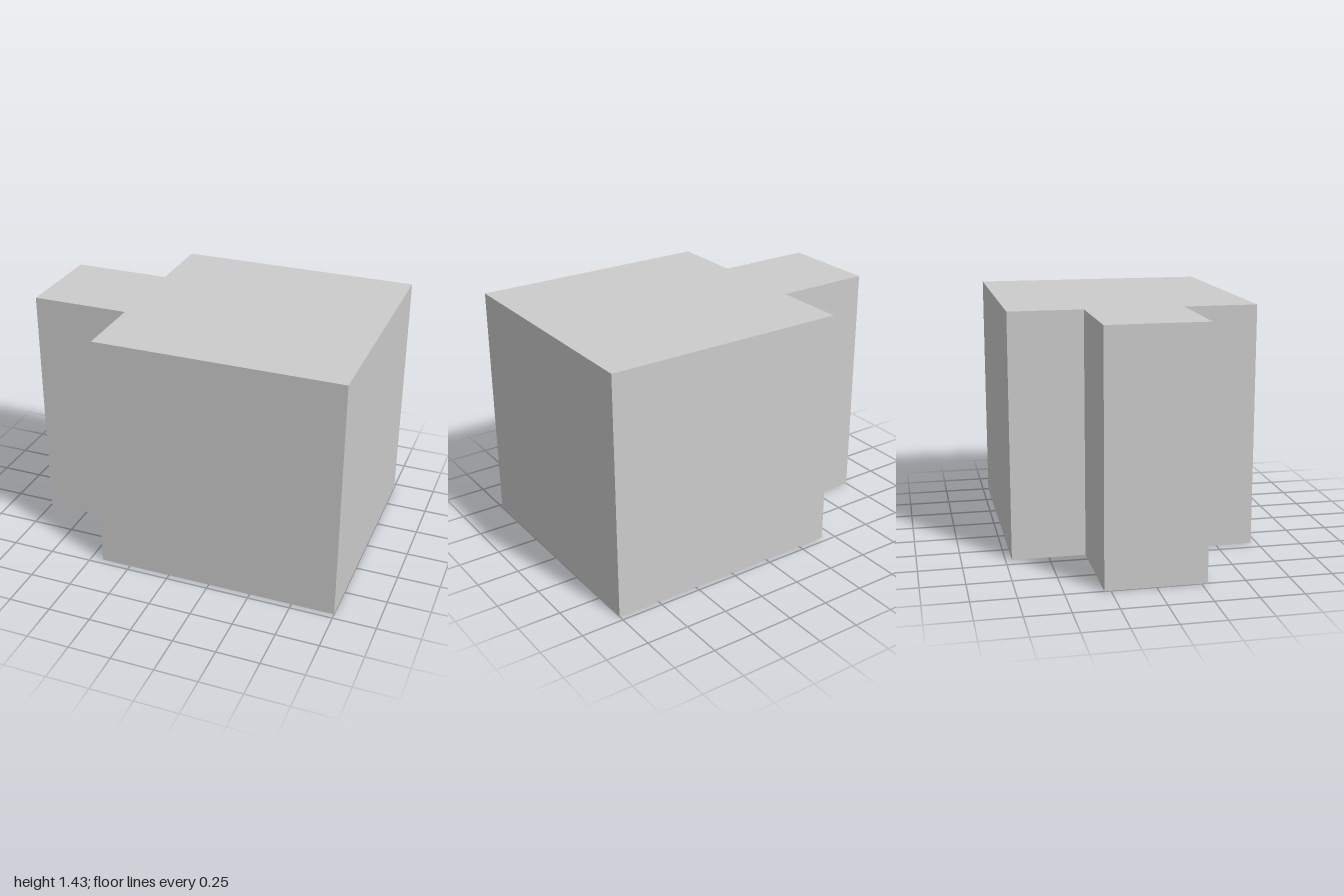
import * as THREE from 'three';

export function createModel() {
  const group = new THREE.Group();
  group.name = 'tabbedBlock';

  const height = 1.43;
  const halfBody = 0.714;  // half depth of the square body
  const halfTab = 0.286;   // half depth of the narrow tab
  const joint = -0.428;    // x where the tab meets the body

  // Floor outline: square body with a centred tab on the -x side
  const outline = new THREE.Shape([
    [1, -halfBody], [1, halfBody], [joint, halfBody], [joint, halfTab],
    [-1, halfTab], [-1, -halfTab], [joint, -halfTab], [joint, -halfBody],
  ].map(([x, z]) => new THREE.Vector2(x, z)));

  // Raise the outline into an upright prism standing on the floor
  const geometry = new THREE.ExtrudeGeometry(outline, { depth: height, bevelEnabled: false });
  geometry.rotateX(-Math.PI / 2);

  const block = new THREE.Mesh(
    geometry,
    new THREE.MeshStandardMaterial({ color: 0xcccccc, flatShading: true }),
  );
  block.name = 'bodyWithTab';
  group.add(block);
  return group;
}
